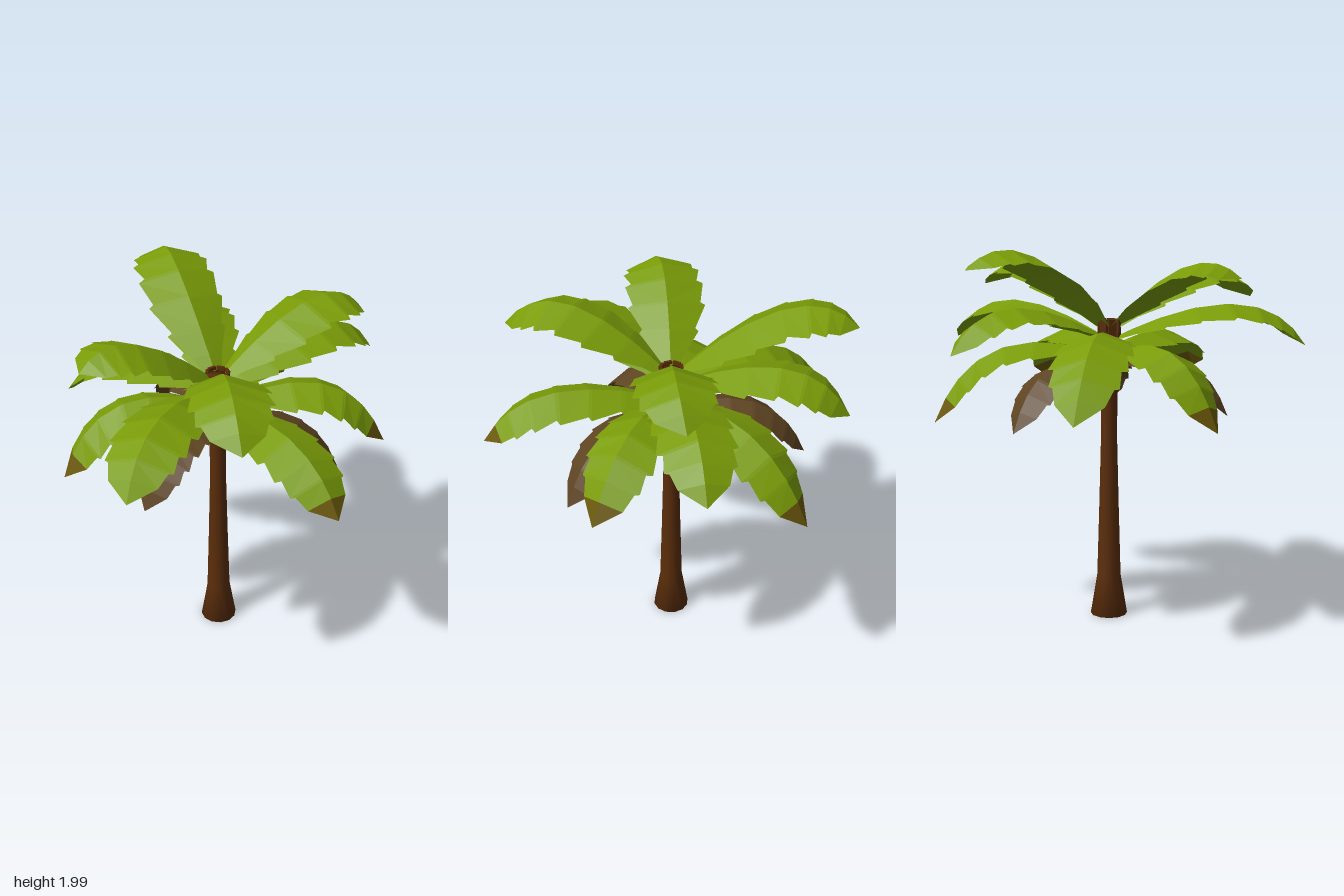
import * as THREE from 'three';

const leafMat = (name, color) =>
  new THREE.MeshStandardMaterial({ name, color, side: THREE.DoubleSide, flatShading: true });
const green = leafMat('leafGreen', 0x7a9c08);
const olive = leafMat('witheredTip', 0x6a580a);
const dead = leafMat('deadLeaf', 0x5e4422);
const bark = new THREE.MeshStandardMaterial({ name: 'bark', color: 0x5a2d0a });

const AXIS_X = -0.043;

// Frond outline: [position along midrib, half width relative to widest]; paired rows make the torn notches
const OUTLINE = [
  [0, 0.2], [0.07, 0.4], [0.16, 0.76], [0.175, 0.68], [0.3, 1], [0.315, 0.88],
  [0.46, 1.02], [0.48, 0.86], [0.62, 1], [0.64, 0.84], [0.76, 0.88], [0.775, 0.76], [0.88, 0.62], [1, 0],
];
const TIP_START = 0.88;

// Arched leaf folded down on both sides of its midrib
function frond({ name, rootY, reach, ctrlY, bend, tip, width, fold, mats }) {
  const [tx, ty, tz] = tip;
  const dir = new THREE.Vector3(tx - AXIS_X, 0, tz).normalize();
  const side = new THREE.Vector3(-dir.z, 0, dir.x);
  const root = new THREE.Vector3(AXIS_X, rootY, 0).addScaledVector(dir, 0.02);
  const end = new THREE.Vector3(tx, ty, tz);
  const ctrl = root.clone().lerp(end, reach).addScaledVector(side, bend).setY(ctrlY);
  const curve = new THREE.QuadraticBezierCurve3(root, ctrl, end);

  const rows = OUTLINE.map(([t, w]) => {
    const mid = curve.getPoint(t);
    const tangent = curve.getTangent(t);
    const across = new THREE.Vector3(-tangent.z, 0, tangent.x).normalize();
    const down = new THREE.Vector3().crossVectors(tangent, across).normalize();
    if (down.y > 0) down.negate();
    const edge = (s) => mid.clone().addScaledVector(across, s * w * width)
      .addScaledVector(down, w * width * fold)
      .addScaledVector(tangent, w * width * 0.1);
    return { t, left: edge(-1), mid, right: edge(1) };
  });

  const blade = [], tipPart = [];
  for (let i = 0; i < rows.length - 1; i++) {
    const a = rows[i], b = rows[i + 1];
    const out = a.t >= TIP_START ? tipPart : blade;
    const tri = (...p) => p.forEach((v) => out.push(v.x, v.y, v.z));
    tri(a.mid, b.left, a.left);
    tri(a.mid, b.mid, b.left);
    tri(a.mid, a.right, b.right);
    tri(a.mid, b.right, b.mid);
  }
  const geo = new THREE.BufferGeometry();
  geo.setAttribute('position', new THREE.Float32BufferAttribute([...blade, ...tipPart], 3));
  geo.addGroup(0, blade.length / 3, 0);
  geo.addGroup(blade.length / 3, tipPart.length / 3, 1);
  geo.computeVertexNormals();
  const mesh = new THREE.Mesh(geo, mats);
  mesh.name = name;
  return mesh;
}

// Tiers of fronds, each as [tip x, tip y, tip z, sideways bend, arch height]
const TIERS = [
  { name: 'upperFrond', rootY: 1.58, reach: 0.68, width: 0.205, fold: 0.33, mats: [green, green], tips: [
    [-0.24, 1.9, -0.91, -0.06, 2.19], [0.76, 1.78, -0.34, 0.06, 2.13],
    [-0.05, 1.71, 0.93, 0.03, 2.1], [-0.74, 1.85, 0.34, 0.05, 2.09]] },
  { name: 'middleFrond', rootY: 1.52, reach: 0.75, width: 0.195, fold: 0.35, mats: [green, green], tips: [
    [-0.09, 1.48, -0.93, 0, 1.9], [0.86, 1.48, -0.47, 0, 1.9],
    [-0.57, 1.48, 0.9, 0.04, 1.9], [-0.79, 1.21, -0.64, -0.04, 1.74]] },
  { name: 'lowerFrond', rootY: 1.43, reach: 0.75, width: 0.185, fold: 0.4, mats: [green, olive], tips: [
    [0.35, 1.08, -0.84, 0.06, 1.67], [0.83, 1.2, 0.11, -0.05, 1.74],
    [0.42, 1.27, 0.87, 0, 1.69], [-0.86, 1.12, 0.12, 0.05, 1.69]] },
  { name: 'deadFrond', rootY: 1.38, reach: 0.75, width: 0.145, fold: 0.4, mats: [dead, dead], tips: [
    [0.57, 1.07, 0.35, 0, 1.56], [-0.47, 1.12, 0.47, 0, 1.56], [-0.26, 1.1, -0.68, 0, 1.56]] },
];

export function createModel() {
  const palm = new THREE.Group();
  palm.name = 'palmTree';

  // Trunk with flared foot
  const profile = [[0, 0], [0.1, 0], [0.064, 0.22], [0.053, 0.6], [0.043, 1.0], [0.045, 1.2],
    [0.055, 1.4], [0.05, 1.6], [0, 1.6]].map(([r, y]) => new THREE.Vector2(r, y));
  const trunk = new THREE.Mesh(new THREE.LatheGeometry(profile, 12), bark);
  trunk.name = 'trunk';
  trunk.position.x = AXIS_X;
  palm.add(trunk);

  // Old leaf bases splaying out around the crown
  const stubs = new THREE.Group();
  stubs.name = 'crownStubs';
  stubs.position.x = AXIS_X;
  const stubCount = 7;
  for (let i = 0; i < stubCount; i++) {
    const pivot = new THREE.Group();
    pivot.rotation.y = (i / stubCount) * Math.PI * 2;
    const lower = new THREE.Mesh(new THREE.CylinderGeometry(0.032, 0.01, 0.25, 4), bark);
    lower.name = 'lowerStub';
    lower.scale.z = 0.6;
    lower.position.set(0, 1.345, 0.06);
    lower.rotation.x = 0.17;
    const upper = new THREE.Mesh(new THREE.BoxGeometry(0.042, 0.19, 0.016), bark);
    upper.name = 'upperStub';
    upper.position.set(0, 1.525, 0.05);
    upper.rotation.x = 0.04;
    pivot.add(lower, upper);
    stubs.add(pivot);
  }
  palm.add(stubs);

  // Fronds
  for (const { tips, ...tierStyle } of TIERS) {
    const tier = new THREE.Group();
    tier.name = tierStyle.name + 's';
    tips.forEach(([x, y, z, bend, ctrlY]) =>
      tier.add(frond({ ...tierStyle, ctrlY, bend, tip: [x, y, z] })));
    palm.add(tier);
  }
  return palm;
}
